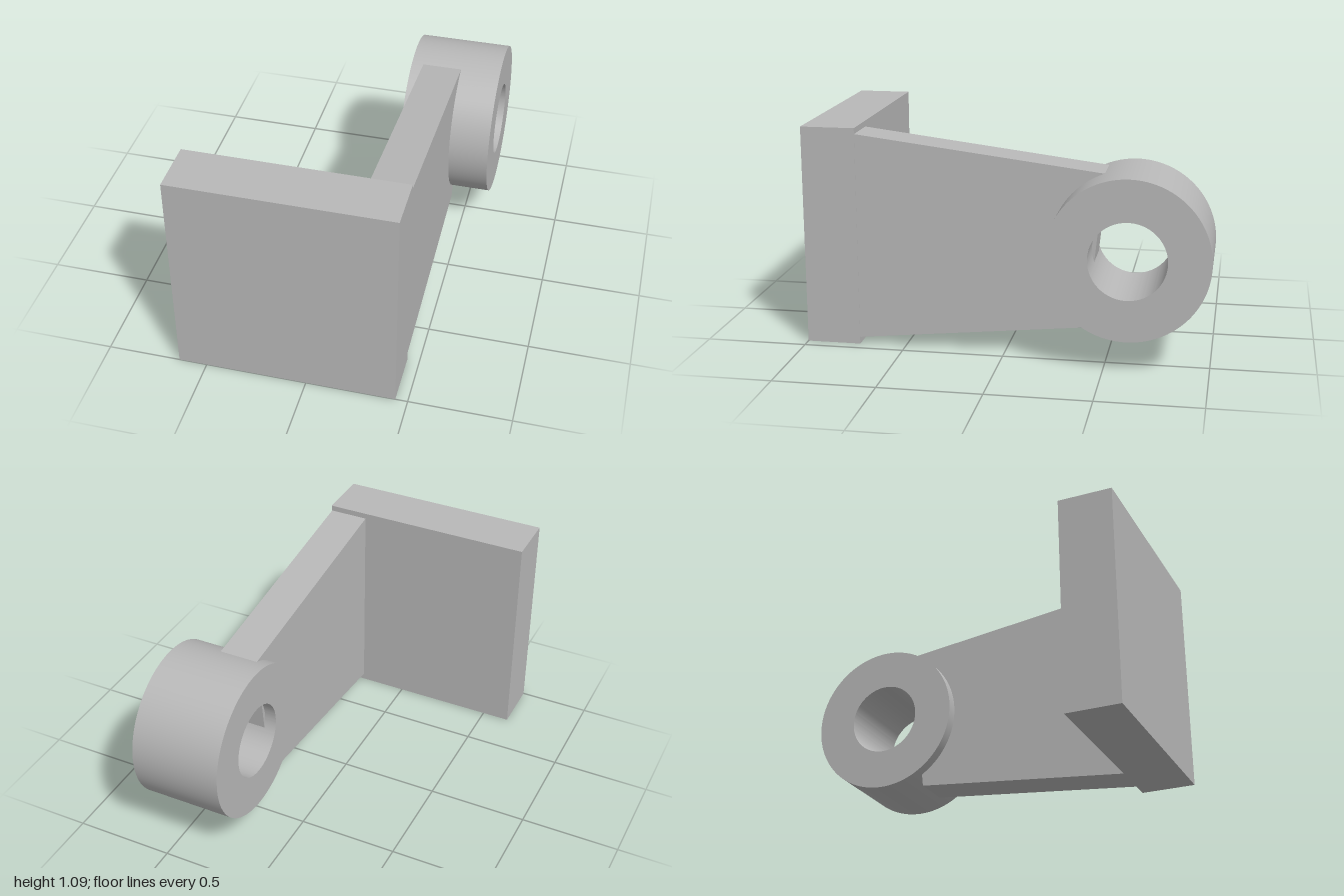
import * as THREE from 'three';
import { toCreasedNormals } from 'three/addons/utils/BufferGeometryUtils.js';

// Extrude a side profile, drawn as (-z, y), along x from x0 to x1
function extrudeAlongX(shape, x0, x1) {
  const geometry = new THREE.ExtrudeGeometry(shape, {
    depth: x1 - x0, bevelEnabled: false, curveSegments: 72,
  });
  geometry.rotateY(Math.PI / 2);
  geometry.translate(x0, 0, 0);
  return toCreasedNormals(geometry, Math.PI / 6);
}

export function createModel() {
  const group = new THREE.Group();
  group.name = 'bracket';
  const grey = new THREE.MeshStandardMaterial({ color: 0xb8b8b8 });
  grey.name = 'plain grey';

  const add = (name, geometry) => {
    const mesh = new THREE.Mesh(geometry, grey);
    mesh.name = name;
    group.add(mesh);
  };

  // Upright mounting plate
  const plate = new THREE.BoxGeometry(1.08, 1.092, 0.268);
  plate.translate(-0.1, 0.546, 0.866);
  add('mountingPlate', plate);

  // Tapered arm; its slanted end pokes slightly into the bore
  const arm = new THREE.Shape([
    [-0.74, 0.034], [0.4, 0.15], [0.48, 0.914], [-0.74, 1.064],
  ].map(([x, y]) => new THREE.Vector2(x, y)));
  add('taperedArm', extrudeAlongX(arm, 0.24, 0.438));

  // Bearing sleeve with a through bore
  const ring = new THREE.Shape();
  ring.absarc(0.61, 0.547, 0.39, 0, Math.PI * 2, false);
  const bore = new THREE.Path();
  bore.absarc(0.61, 0.547, 0.187, 0, Math.PI * 2, true);
  ring.holes.push(bore);
  add('bearingSleeve', extrudeAlongX(ring, 0.18, 0.64));

  return group;
}
